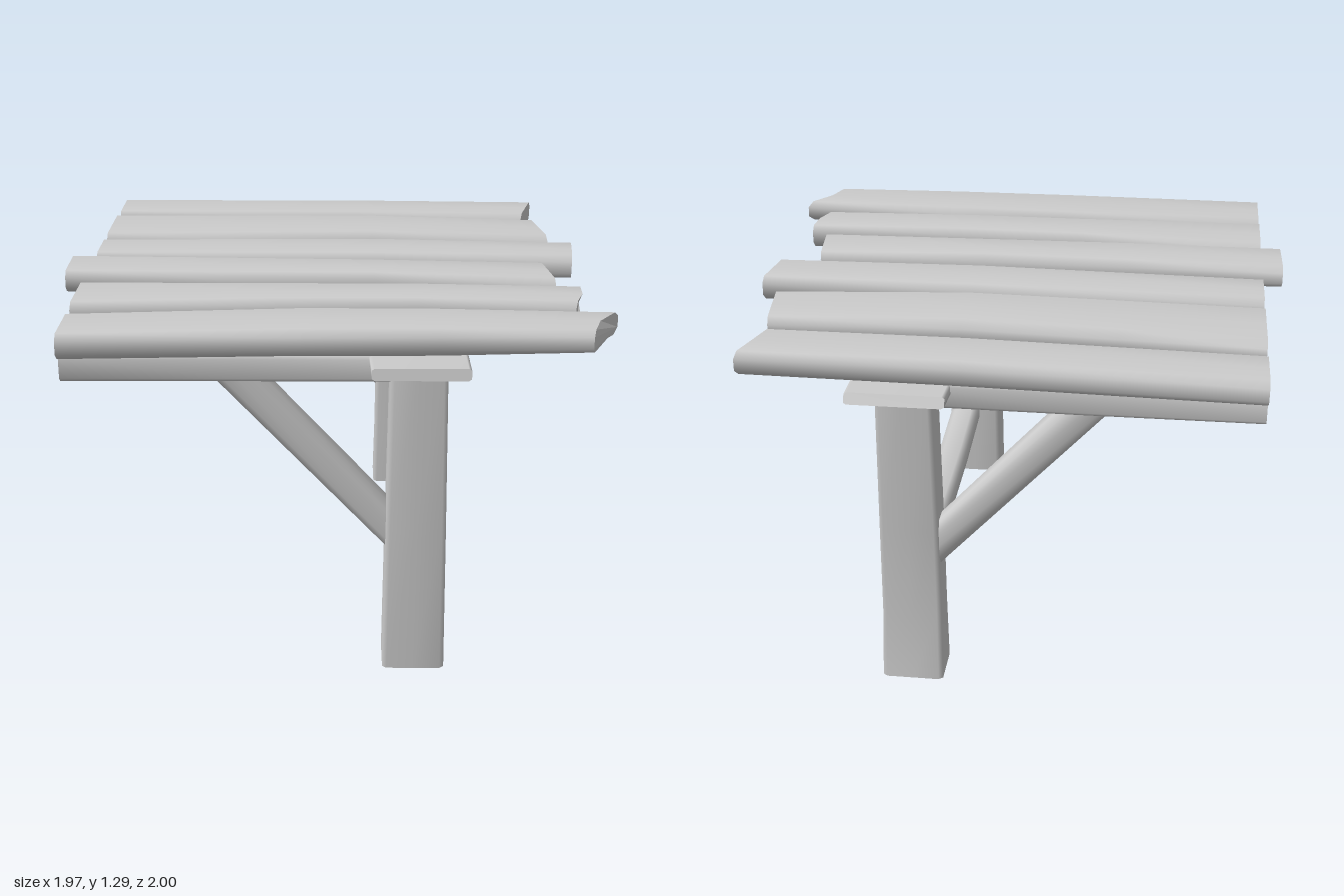
import * as THREE from 'three';
import { mergeVertices } from 'three/addons/utils/BufferGeometryUtils.js';

const material = new THREE.MeshStandardMaterial({ color: 0xcccccc });

// Section outline in 0..1 (a, b): a softly chamfered rectangle with mid points along b.
const outline = (ca, cb) => [
  [ca, 0], [1 - ca, 0], [1, cb], [1, 0.5], [1, 1 - cb],
  [1 - ca, 1], [ca, 1], [0, 1 - cb], [0, 0.5], [0, cb],
];

// Lofted timber along an axis. Station: [t, a0, a1, b0, b1], where a and b are the
// next two axes in x-y-z order; t may be [t0, tMid, t1] to cut an end askew across b.
function timber(name, axis, stations, ca = 0.07, cb = 0.07) {
  const section = outline(ca, cb);
  const n = section.length;
  const lerp = THREE.MathUtils.lerp;
  const rings = stations.map(([t, a0, a1, b0, b1]) => section.map(([fa, fb]) => {
    const [t0, tm, t1] = Array.isArray(t) ? t : [t, t, t];
    const p = [0, 0, 0];
    p[axis] = fb < 0.5 ? lerp(t0, tm, fb * 2) : lerp(tm, t1, fb * 2 - 1);
    p[(axis + 1) % 3] = lerp(a0, a1, fa);
    p[(axis + 2) % 3] = lerp(b0, b1, fb);
    return p;
  }));

  const body = [];
  for (let i = 0; i < rings.length - 1; i++) {
    for (let j = 0; j < n; j++) {
      const k = (j + 1) % n;
      const [p, q, r, s] = [rings[i][j], rings[i][k], rings[i + 1][k], rings[i + 1][j]];
      body.push(p, q, r, p, r, s);
    }
  }
  const caps = [];
  const first = rings[0], last = rings[rings.length - 1];
  for (let j = 1; j < n - 1; j++) {
    caps.push(first[0], first[j + 1], first[j]);
    caps.push(last[0], last[j], last[j + 1]);
  }

  // Smooth sides, flat sawn ends
  const build = (points, smooth) => {
    let g = new THREE.BufferGeometry();
    g.setAttribute('position', new THREE.Float32BufferAttribute(points.flat(), 3));
    if (smooth) g = mergeVertices(g, 1e-4);
    g.computeVertexNormals();
    return g;
  };
  const group = new THREE.Group();
  group.name = name;
  [['sides', body, true], ['ends', caps, false]].forEach(([part, points, smooth]) => {
    const mesh = new THREE.Mesh(build(points, smooth), material);
    mesh.name = name + (smooth ? 'Sides' : 'Ends');
    group.add(mesh);
  });
  return group;
}

const X = 0, Y = 1, Z = 2;

export function createModel() {
  const model = new THREE.Group();
  model.name = 'rusticTable';

  // Top planks, back to front; each narrows, widens and ends a little differently
  const planks = [
    [[-0.91, 1.175, 1.265, -0.945, -0.71], [0.1, 1.18, 1.27, -0.925, -0.685],
      [[0.855, 0.822, 0.79], 1.18, 1.265, -0.915, -0.675]],
    [[-0.91, 1.18, 1.275, -0.645, -0.305], [-0.4, 1.18, 1.28, -0.63, -0.303],
      [0.15, 1.18, 1.285, -0.612, -0.303], [[0.82, 0.84, 0.86], 1.18, 1.265, -0.615, -0.325]],
    [[-0.91, 1.18, 1.275, -0.26, -0.035], [0.15, 1.18, 1.28, -0.26, -0.02],
      [[0.94, 0.928, 0.915], 1.18, 1.27, -0.24, -0.02]],
    [[[-0.985, -0.983, -0.98], 1.21, 1.29, 0.025, 0.265], [-0.4, 1.19, 1.288, 0.04, 0.27],
      [0.15, 1.175, 1.285, 0.055, 0.26], [[0.785, 0.8, 0.815], 1.17, 1.27, 0.04, 0.285]],
    [[-0.91, 1.18, 1.275, 0.315, 0.6], [-0.2, 1.18, 1.28, 0.342, 0.56],
      [0.3, 1.18, 1.28, 0.345, 0.555], [[0.89, 0.885, 0.85], 1.18, 1.27, 0.345, 0.555]],
    [[-0.91, 1.175, 1.265, 0.65, 0.905], [-0.1, 1.18, 1.275, 0.61, 0.885],
      [0.35, 1.18, 1.275, 0.615, 0.88], [[0.98, 0.9, 0.865], 1.19, 1.27, 0.64, 0.87]],
  ];
  planks.forEach((s, i) => model.add(timber('plank' + (i + 1), X, s, 0.25, 0.1)));

  // Wide cross board lying over the legs, sagging slightly
  model.add(timber('crossBoard', Z, [
    [[-1, -0.99, -0.98], 0.135, 0.47, 1.14, 1.175], [-0.5, 0.115, 0.478, 1.135, 1.172],
    [0, 0.115, 0.48, 1.13, 1.165], [0.6, 0.115, 0.455, 1.138, 1.175],
    [[0.995, 0.99, 0.985], 0.13, 0.455, 1.143, 1.182],
  ], 0.03, 0.15));

  // Legs
  model.add(timber('frontLeg', Y, [
    [0, 0.7, 0.88, 0.18, 0.4], [0.55, 0.7, 0.877, 0.187, 0.395], [1.15, 0.705, 0.868, 0.197, 0.388],
  ]));
  model.add(timber('backLeg', Y, [
    [0, -0.91, -0.735, 0.18, 0.4], [0.25, -0.88, -0.735, 0.185, 0.397],
    [0.6, -0.888, -0.735, 0.188, 0.394], [1.15, -0.9, -0.74, 0.197, 0.388],
  ]));

  // Low rail between the legs
  model.add(timber('lowRail', Z, [
    [-0.78, 0.27, 0.385, 0.25, 0.35], [-0.3, 0.265, 0.38, 0.238, 0.337],
    [0, 0.265, 0.38, 0.235, 0.332], [0.3, 0.265, 0.38, 0.238, 0.335], [0.75, 0.27, 0.385, 0.25, 0.35],
  ], 0.2, 0.2));

  // Side beams under the outer planks, each held by a diagonal brace
  [['front', 0.785], ['back', -0.815]].forEach(([side, z]) => {
    model.add(timber(side + 'Beam', X, [
      [-0.91, 1.085, 1.18, z - 0.075, z + 0.075], [-0.3, 1.085, 1.182, z - 0.078, z + 0.075],
      [0.23, 1.085, 1.18, z - 0.075, z + 0.075],
    ], 0.15, 0.1));
    model.add(timber(side + 'Brace', Y, [
      [0.44, z - 0.05, z + 0.05, 0.205, 0.365], [1.1, z - 0.05, z + 0.05, -0.41, -0.24],
    ], 0.2, 0.2));
  });

  return model;
}
